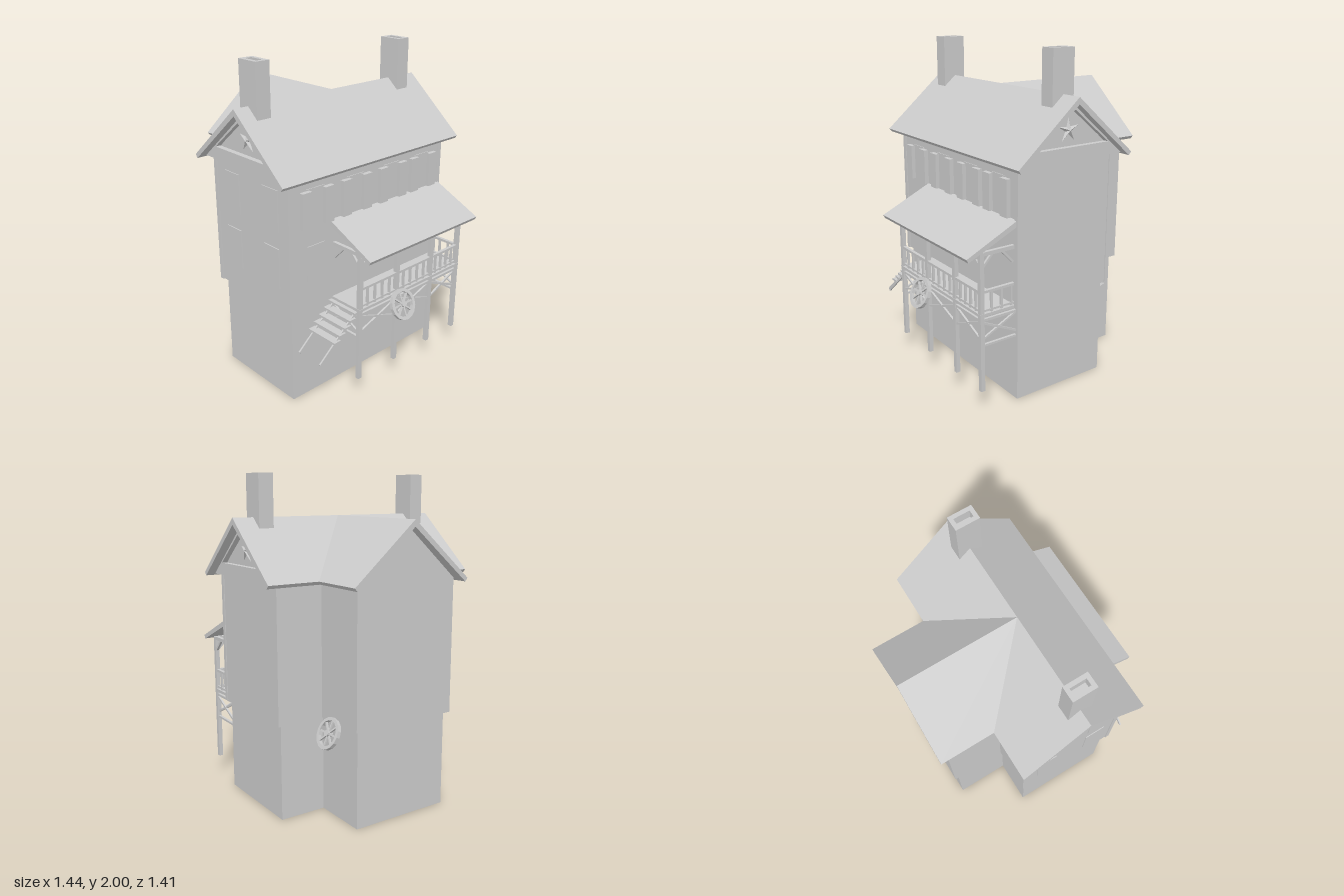
import * as THREE from 'three';

const mat = new THREE.MeshStandardMaterial({ color: 0xcccccc, flatShading: true });
const RIDGE_Z = 0.037; // main ridge line
const WING_X = -0.005; // wing ridge line

function add(parent, name, geo) {
  const m = new THREE.Mesh(geo, mat);
  m.name = name;
  parent.add(m);
  return m;
}

// Box given by its min and max on each axis
function box(parent, name, x0, x1, y0, y1, z0, z1) {
  const m = add(parent, name, new THREE.BoxGeometry(x1 - x0, y1 - y0, z1 - z0));
  m.position.set((x0 + x1) / 2, (y0 + y1) / 2, (z0 + z1) / 2);
  return m;
}

// Square timber between two points
function beam(parent, name, a, b, w, h = w) {
  const A = new THREE.Vector3(...a), B = new THREE.Vector3(...b);
  const m = add(parent, name, new THREE.BoxGeometry(w, h, A.distanceTo(B)));
  m.position.copy(A).add(B).multiplyScalar(0.5);
  m.lookAt(B);
  return m;
}

const shape = pts => new THREE.Shape(pts.map(p => new THREE.Vector2(...p)));

function extrude(s, z0, z1) {
  return new THREE.ExtrudeGeometry(s, { depth: z1 - z0, bevelEnabled: false }).translate(0, 0, z0);
}

const roofShape = () => shape([[-0.385, 1.385], [0, 1.71], [0.385, 1.385], [0.402, 1.405], [0, 1.75], [-0.402, 1.405]]);
const houseShape = hw => shape([[-hw, 0.59], [hw, 0.59], [hw, 1.405], [0, 1.71], [-hw, 1.405]]);

function gableFrame() {
  const s = shape([[-0.385, 1.395], [0.385, 1.395], [0, 1.715]]);
  s.holes.push(new THREE.Path([[-0.27, 1.47], [0, 1.69], [0.27, 1.47]].map(p => new THREE.Vector2(...p))));
  return extrude(s, 0.62, 0.665);
}

// Five-pointed raised star facing +z
function starGeometry() {
  const g = new THREE.ConeGeometry(0.075, 0.02, 10);
  const p = g.attributes.position;
  for (let i = 0; i < p.count; i++) {
    const k = Math.round(Math.atan2(p.getX(i), p.getZ(i)) / (Math.PI / 5));
    if (k % 2) p.setXYZ(i, p.getX(i) * 0.3, p.getY(i), p.getZ(i) * 0.3);
  }
  return g.rotateY(Math.PI).rotateX(Math.PI / 2);
}

// Spoked wagon wheel with its axle along z
function wheel(name) {
  const g = new THREE.Group();
  g.name = name;
  const t = 0.011;
  const profile = [[0.076, -t], [0.096, -t], [0.096, t], [0.076, t], [0.076, -t]].map(p => new THREE.Vector2(...p));
  add(g, 'wheelRim', new THREE.LatheGeometry(profile, 16).rotateX(Math.PI / 2));
  add(g, 'wheelHub', new THREE.CylinderGeometry(0.018, 0.018, 0.036, 10).rotateX(Math.PI / 2));
  for (let i = 0; i < 8; i++) {
    const s = add(g, 'wheelSpoke', new THREE.BoxGeometry(0.01, 0.066, 0.01).translate(0, 0.046, 0));
    s.rotation.z = (i * Math.PI) / 4;
  }
  return g;
}

function buildHouse(root) {
  // Stone base of the main block and rear wing
  box(root, 'mainBase', -0.605, 0.605, 0, 0.6, -0.272, 0.355);
  box(root, 'wingBase', WING_X - 0.32, WING_X + 0.32, 0, 0.6, -0.62, -0.2);

  // Overhanging upper storeys with gables
  const main = add(root, 'mainUpperStorey', extrude(houseShape(0.337), -0.632, 0.632).rotateY(Math.PI / 2));
  main.position.z = RIDGE_Z;
  const wing = add(root, 'wingUpperStorey', extrude(houseShape(0.345), -0.648, -0.1));
  wing.position.x = WING_X;

  // Corner boards
  for (const x of [-0.622, 0.622])
    for (const z of [-0.29, 0.367]) box(root, 'cornerBoard', x - 0.015, x + 0.015, 0.585, 1.4, z - 0.014, z + 0.014);

  // Main roof
  const roof = add(root, 'mainRoof', extrude(roofShape(), -0.72, 0.72).rotateY(Math.PI / 2));
  roof.position.z = RIDGE_Z;

  // Wing roof, its inner end cut back along the valleys
  const wg = extrude(roofShape(), -0.705, 0);
  const p = wg.attributes.position;
  for (let i = 0; i < p.count; i++) if (p.getZ(i) > -0.1) p.setZ(i, RIDGE_Z - Math.abs(p.getX(i)));
  add(root, 'wingRoof', wg).position.x = WING_X;

  // Framed gable ends with stars
  for (const side of [-1, 1]) {
    const end = new THREE.Group();
    end.name = 'gableEnd';
    add(end, 'gableFrame', gableFrame());
    add(end, 'gableStar', starGeometry()).position.set(0, 1.56, 0.642);
    end.rotation.y = (side * Math.PI) / 2;
    end.position.z = RIDGE_Z;
    root.add(end);
  }

  // Hollow-topped chimneys
  for (const x of [-0.574, 0.54]) {
    const s = shape([[-0.047, -0.075], [0.047, -0.075], [0.047, 0.075], [-0.047, 0.075]]);
    s.holes.push(new THREE.Path([[-0.021, -0.05], [-0.021, 0.05], [0.021, 0.05], [0.021, -0.05]].map(q => new THREE.Vector2(...q))));
    add(root, 'chimney', extrude(s, 1.68, 2).rotateX(-Math.PI / 2)).position.set(x, 0, 0.04);
    box(root, 'chimneyFlue', x - 0.022, x + 0.022, 1.7, 1.94, -0.011, 0.091);
  }
}

function buildWindows(root) {
  // Front windows with open shutters
  for (const x of [-0.437, -0.132, 0.175, 0.45]) {
    box(root, 'frontWindow', x - 0.067, x + 0.067, 1.085, 1.33, 0.36, 0.379);
    for (const s of [-1, 1]) {
      const c = x + s * 0.083;
      box(root, 'shutter', c - 0.033, c + 0.033, 1.105, 1.322, 0.376, 0.404);
    }
  }
  box(root, 'lowerFrontWindow', -0.504, -0.37, 0.735, 0.985, 0.36, 0.379);

  // Gable wall windows
  for (const z of [-0.13, 0.22])
    for (const y of [0.735, 1.085]) box(root, 'sideWindow', -0.637, -0.6, y, y + 0.247, z - 0.067, z + 0.067);
}

function buildPorch(root) {
  const porch = new THREE.Group();
  porch.name = 'porch';
  root.add(porch);
  const posts = [-0.294, 0.016, 0.328, 0.59], Z = 0.59, WALL = 0.36;

  // Sloping roof, extruded along x from its z-y section
  const rs = shape([[-0.37, 1.07], [-0.37, 1.105], [-0.702, 0.95], [-0.69, 0.928]]);
  add(porch, 'porchRoof', extrude(rs, -0.33, 0.625).rotateY(Math.PI / 2));

  // Deck and long beams
  box(porch, 'deck', -0.308, 0.604, 0.585, 0.602, 0.35, 0.605);
  box(porch, 'topBeam', -0.307, 0.603, 0.915, 0.955, Z - 0.012, Z + 0.012);
  box(porch, 'handrail', -0.3, 0.6, 0.72, 0.735, Z - 0.01, Z + 0.01);
  box(porch, 'bottomRail', -0.3, 0.6, 0.61, 0.622, Z - 0.007, Z + 0.007);
  box(porch, 'underBeam', -0.3, 0.6, 0.553, 0.568, Z - 0.009, Z + 0.009);

  for (const x of posts) box(porch, 'post', x - 0.013, x + 0.013, 0.13, 0.93, Z - 0.013, Z + 0.013);

  // Each bay: knee braces, balusters and cross braces
  for (let i = 0; i < 3; i++) {
    const a = posts[i], b = posts[i + 1];
    beam(porch, 'kneeBrace', [a, 0.86, Z], [a + 0.07, 0.93, Z], 0.014);
    beam(porch, 'kneeBrace', [b, 0.86, Z], [b - 0.07, 0.93, Z], 0.014);
    beam(porch, 'crossBrace', [a, 0.55, Z], [b, 0.44, Z + 0.001], 0.012);
    beam(porch, 'crossBrace', [a, 0.44, Z], [b, 0.55, Z - 0.001], 0.012);
    for (let k = 1; k < 5; k++) {
      const x = a + ((b - a) * k) / 5;
      box(porch, 'baluster', x - 0.007, x + 0.007, 0.6, 0.725, Z - 0.006, Z + 0.006);
    }
  }

  // Side framing at both ends; the stair end stays open
  for (const x of [posts[0], posts[3]]) {
    box(porch, 'sideTopBeam', x - 0.011, x + 0.011, 0.935, 0.957, WALL, Z);
    box(porch, 'sideUnderBeam', x - 0.008, x + 0.008, 0.553, 0.568, WALL, Z);
    box(porch, 'sideLowBeam', x - 0.008, x + 0.008, 0.402, 0.415, WALL, Z);
    beam(porch, 'sideKneeBrace', [x, 0.86, Z], [x, 0.935, Z - 0.07], 0.014);
    beam(porch, 'sideKneeBrace', [x, 0.86, 0.38], [x, 0.935, 0.45], 0.014);
    beam(porch, 'sideCrossBrace', [x - 0.002, 0.55, WALL], [x - 0.002, 0.44, Z], 0.012);
    beam(porch, 'sideCrossBrace', [x + 0.002, 0.44, WALL], [x + 0.002, 0.55, Z], 0.012);
  }
  box(porch, 'sideHandrail', 0.58, 0.6, 0.72, 0.735, WALL, Z);
  box(porch, 'sideBottomRail', 0.583, 0.597, 0.61, 0.622, WALL, Z);
  for (const z of [0.39, 0.457, 0.523]) box(porch, 'sideBaluster', 0.583, 0.597, 0.6, 0.725, z - 0.006, z + 0.006);

  // Side stairs
  for (const z of [0.385, 0.563]) beam(porch, 'stairStringer', [-0.575, 0.33, z], [-0.3, 0.565, z], 0.01, 0.022);
  for (let i = 0; i < 5; i++) {
    const x = -0.46 + i * 0.04, y = 0.44 + i * 0.033;
    box(porch, 'stairTread', x - 0.025, x + 0.025, y - 0.006, y + 0.006, WALL, 0.583);
  }
}

export function createModel() {
  const root = new THREE.Group();
  root.name = 'house';
  buildHouse(root);
  buildWindows(root);
  buildPorch(root);

  // Leaning wagon wheels, one on the porch and one by the wing
  const front = wheel('frontWheel');
  front.position.set(0.016, 0.537, 0.648);
  front.rotation.x = -0.43;
  root.add(front);

  const lean = new THREE.Group();
  lean.name = 'wingWheelMount';
  const rear = wheel('wingWheel');
  rear.rotation.x = -0.43;
  lean.add(rear);
  lean.position.set(0.385, 0.537, -0.435);
  lean.rotation.y = Math.PI / 2;
  root.add(lean);
  return root;
}
